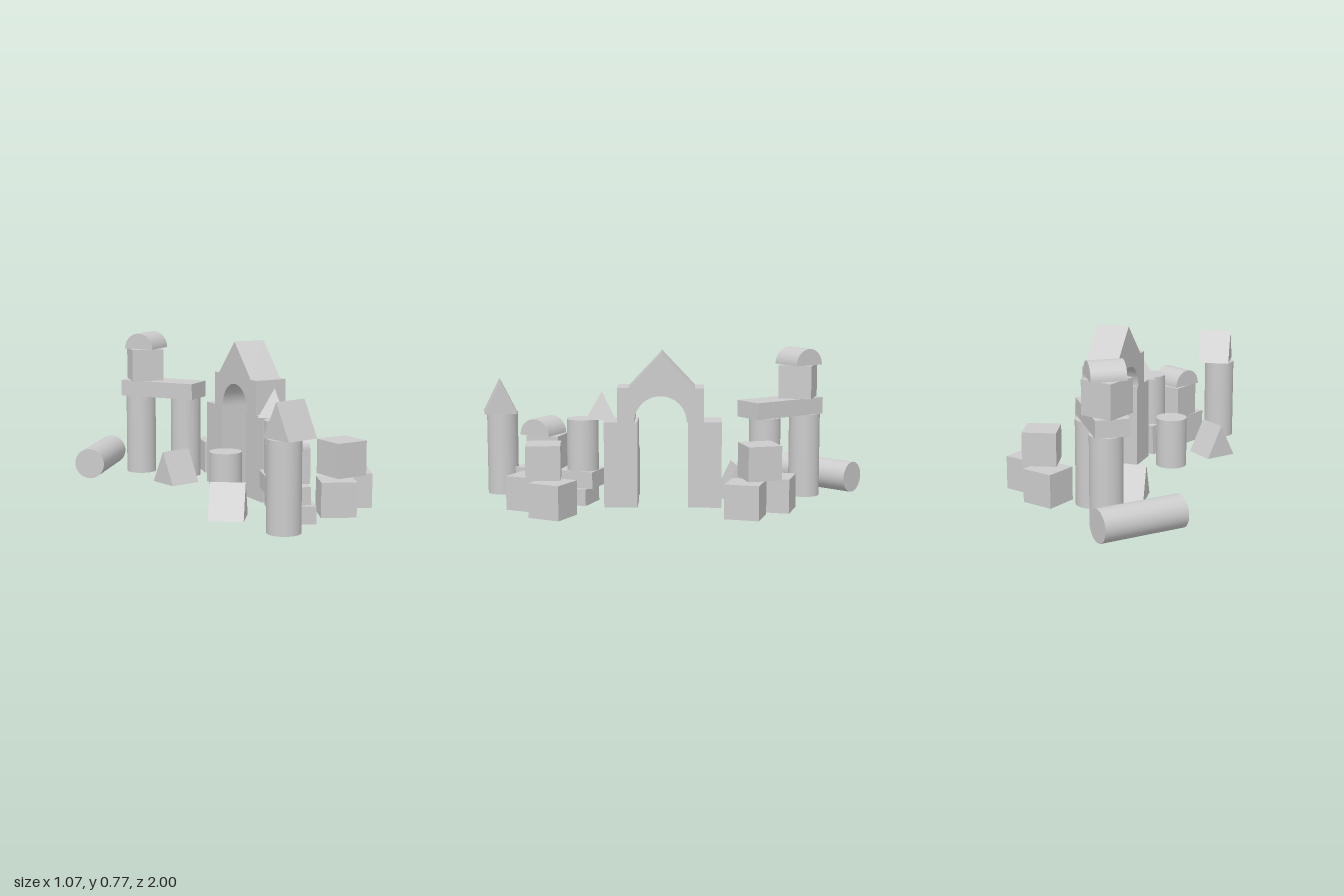
import * as THREE from 'three';
import { toCreasedNormals } from 'three/addons/utils/BufferGeometryUtils.js';

const S = 0.17;     // side of a cube block
const R = 0.08;     // column radius
const TALL = 0.43;  // long column and plank length
const SHORT = 0.26; // short column
const T = 0.085;    // plank thickness

const material = new THREE.MeshStandardMaterial({ color: 0xcccccc });

// Extrude a profile so that its length runs along local x, base at y = 0
function extrudeX(shape, length) {
  const geo = new THREE.ExtrudeGeometry(shape, { depth: length, bevelEnabled: false, curveSegments: 32 });
  geo.translate(0, 0, -length / 2);
  geo.rotateY(Math.PI / 2);
  return toCreasedNormals(geo, 0.6);
}

function boxGeo(w, h, d) {
  return new THREE.BoxGeometry(w, h, d).translate(0, h / 2, 0);
}

function columnGeo(h) {
  return new THREE.CylinderGeometry(R, R, h, 40).translate(0, h / 2, 0);
}

// Triangular prism with its ridge along x
function prismGeo(length, width, height) {
  const s = new THREE.Shape();
  s.moveTo(-width / 2, 0);
  s.lineTo(width / 2, 0);
  s.lineTo(0, height);
  s.closePath();
  return extrudeX(s, length);
}

// Half cylinder lying along x
function halfRoundGeo(length, radius) {
  const s = new THREE.Shape();
  s.moveTo(radius, 0);
  s.absarc(0, 0, radius, 0, Math.PI, false);
  s.closePath();
  return extrudeX(s, length);
}

// Block with a semicircular cut in its underside
function archGeo(width, height, depth, radius) {
  const s = new THREE.Shape();
  s.moveTo(-width / 2, 0);
  s.lineTo(-radius, 0);
  s.absarc(0, 0, radius, Math.PI, 0, true);
  s.lineTo(width / 2, 0);
  s.lineTo(width / 2, height);
  s.lineTo(-width / 2, height);
  s.closePath();
  return extrudeX(s, depth);
}

export function createModel() {
  const model = new THREE.Group();
  model.name = 'buildingBlocks';

  const add = (name, geo, x, y, z, turn = 0) => {
    const mesh = new THREE.Mesh(geo, material);
    mesh.name = name;
    mesh.position.set(x, y, z);
    mesh.rotation.y = turn;
    model.add(mesh);
    return mesh;
  };

  const cube = boxGeo(S, S, S);
  const plank = boxGeo(0.165, T, TALL);
  const tall = columnGeo(TALL);
  const short = columnGeo(SHORT);
  const prism = prismGeo(S, S, S);
  const halfRound = halfRoundGeo(S, 0.084);

  // Gateway: two posts, arch block and gable
  for (const z of [0.248, -0.17]) add('gatePost', boxGeo(S, TALL, 0.167), 0.135, 0, z);
  add('gateArch', archGeo(0.43, S, S, 0.13), 0.135, TALL, 0.05);
  add('gateGable', prismGeo(S, 0.33, 0.175), 0.135, 0.6, 0.045);

  // Front tower with its roof
  add('towerColumn', tall, -0.167, 0, 0.89);
  add('towerRoof', prism, -0.14, TALL, 0.895, 0.19);

  // Loose blocks on the floor
  add('floorPrism', prism, -0.25, 0, 0.52, -0.63);
  add('floorPrism', prism, -0.1, 0, -0.325, 0.18);
  add('shortColumn', short, -0.112, 0, 0.247);
  const log = add('lyingColumn', tall.clone().translate(0, -TALL / 2, 0), -0.333, R, -0.787);
  log.quaternion.setFromUnitVectors(new THREE.Vector3(0, 1, 0), new THREE.Vector3(-52, 0, 62).normalize());

  // Back bridge: two columns, plank, cube and half round
  add('bridgeColumn', tall, -0.13, 0, -0.69);
  add('bridgeColumn', tall, 0.036, 0, -0.475);
  add('bridgePlank', plank, -0.056, TALL, -0.56, 0.626);
  add('bridgeCube', cube, -0.12, 0.515, -0.653, -0.26);
  add('bridgeHalfRound', halfRound, -0.112, 0.687, -0.655, 0.62);

  // Front wall: stacked planks carrying a cube, half round and column
  add('lowerPlank', plank, 0.042, 0, 0.6, -0.35);
  add('upperPlank', plank, 0.032, T, 0.567, -0.35);
  add('wallCube', cube, 0.011, S, 0.63, -0.26);
  add('wallHalfRound', halfRound, 0.007, 0.34, 0.655, -0.45);
  add('wallColumn', short, 0.083, S, 0.447);

  // Small pyramid bridging the wall column and the gate post
  const pyramid = new THREE.BufferGeometry();
  const a = [0.016, TALL, 0.34], b = [0.18, TALL, 0.27], c = [0.122, TALL, 0.428], top = [0.107, 0.57, 0.347];
  pyramid.setAttribute('position', new THREE.Float32BufferAttribute(
    [a, b, c, a, c, top, c, b, top, b, a, top].flat(), 3));
  pyramid.computeVertexNormals();
  add('pyramid', pyramid, 0, 0, 0);

  // Two piles of three cubes: x, y, z, turn
  const piles = [
    [0.24, 0, 0.7, -0.42], [0.425, 0, 0.566, -0.46], [0.322, S, 0.62, 0.07],
    [0.25, 0, -0.52, -0.26], [0.418, 0, -0.365, -0.26], [0.32, S, -0.437, 0.28],
  ];
  for (const [x, y, z, turn] of piles) add('pileCube', cube, x, y, z, turn);

  return model;
}
